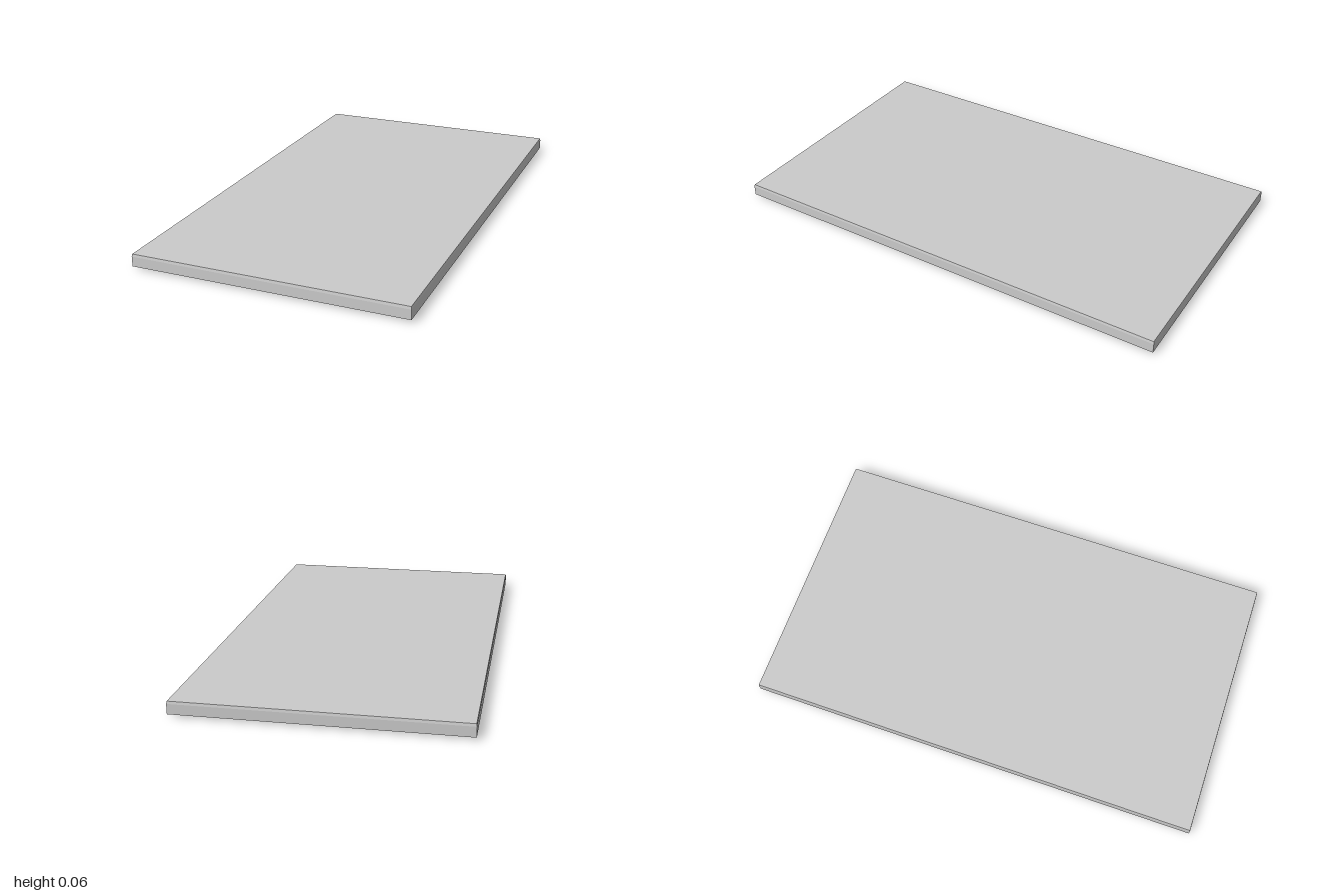
import * as THREE from 'three';

const CORNERS = [[1, 1], [1, -1], [-1, -1], [-1, 1]];

// Skins a run of centred rectangles [halfX, halfZ, y] and closes both ends.
function loftRectangles(rings) {
  const positions = [];
  const corner = ([hx, hz, y], i) => {
    const [sx, sz] = CORNERS[i % 4];
    return [sx * hx, y, sz * hz];
  };
  const quad = (a, b, c, d) => positions.push(...a, ...b, ...c, ...a, ...c, ...d);
  for (let r = 0; r < rings.length - 1; r++) {
    for (let i = 0; i < 4; i++) {
      quad(corner(rings[r], i), corner(rings[r], i + 1),
        corner(rings[r + 1], i + 1), corner(rings[r + 1], i));
    }
  }
  const first = rings[0], last = rings[rings.length - 1];
  quad(...[3, 2, 1, 0].map(i => corner(first, i)));
  quad(...[0, 1, 2, 3].map(i => corner(last, i)));
  const geometry = new THREE.BufferGeometry();
  geometry.setAttribute('position', new THREE.Float32BufferAttribute(positions, 3));
  geometry.computeVertexNormals();
  return geometry;
}

export function createModel() {
  const group = new THREE.Group();
  const material = new THREE.MeshStandardMaterial({ color: 0xcccccc, flatShading: true });
  const add = (name, geometry, x = 0, y = 0, z = 0) => {
    const mesh = new THREE.Mesh(geometry, material);
    mesh.name = name;
    mesh.position.set(x, y, z);
    group.add(mesh);
  };

  // Tray: recessed underside, sloped inner lip, outer wall, fine chamfer and flat top
  add('tray', loftRectangles([
    [0.535, 0.955, 0.022],
    [0.565, 0.985, 0.010],
    [0.581, 1.000, 0.010],
    [0.581, 1.000, 0.052],
    [0.579, 0.998, 0.063],
  ]));

  // Base: two panels meeting at a seam, each with a square cover
  const front = 0.95, back = -0.935, seam = 0.001;
  for (const [side, end] of [['front', front], ['back', back]]) {
    const length = Math.abs(end) - seam;
    const z = end / 2 + Math.sign(end) * seam / 2;
    add(side + 'BasePanel', new THREE.BoxGeometry(1.04, 0.024, length), 0, 0.013, z);
    add(side + 'SquareCover', new THREE.BoxGeometry(0.107, 0.004, 0.107), 0, 0.002, Math.sign(end) * 0.455);
  }

  return group;
}
